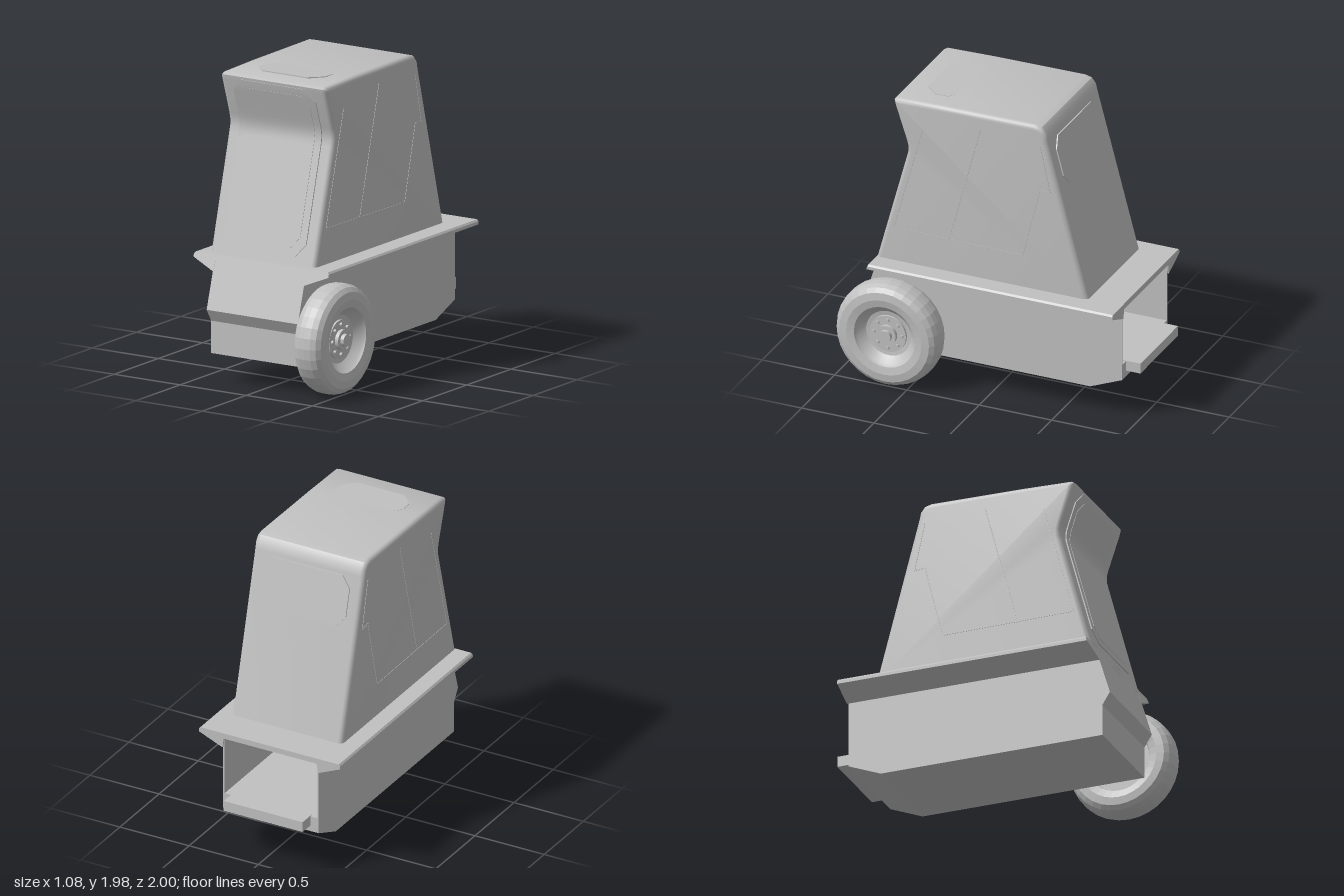
import * as THREE from 'three';
import { toCreasedNormals } from 'three/addons/utils/BufferGeometryUtils.js';

const grey = new THREE.MeshStandardMaterial({ color: 0xc0c0c0 });
grey.name = 'plain grey';

const CX = -0.03; // centre line of body and hood
const hoodFront = [[0.77, 0.83], [0.57, 1.57], [0.56, 1.61], [0.56, 1.65], [0.57, 1.69], [0.65, 1.93]];
const hoodTop = [[0.655, 1.957], [0.63, 1.972], [0.3, 1.98], [-0.32, 1.985], [-0.365, 1.973], [-0.395, 1.935], [-0.405, 1.89]];
const hoodBack = [-0.69, 0.83];

function add(parent, name, geometry) {
  const mesh = new THREE.Mesh(geometry, grey);
  mesh.name = name;
  parent.add(mesh);
  return mesh;
}

function box(parent, name, x0, x1, y0, y1, z0, z1) {
  const mesh = add(parent, name, new THREE.BoxGeometry(x1 - x0, y1 - y0, z1 - z0));
  mesh.position.set((x0 + x1) / 2, (y0 + y1) / 2, (z0 + z1) / 2);
  return mesh;
}

// Extrudes a side profile of [z, y] points across the width from x0 to x1
function sideExtrude(points, x0, x1, bevel = 0) {
  const shape = new THREE.Shape(points.map(([z, y]) => new THREE.Vector2(-z, y)));
  const geo = new THREE.ExtrudeGeometry(shape, {
    depth: x1 - x0 - 2 * bevel, bevelEnabled: bevel > 0, bevelSize: bevel,
    bevelThickness: bevel, bevelOffset: -bevel, bevelSegments: 5,
  });
  return geo.rotateY(Math.PI / 2).translate(x0 + bevel, 0, 0);
}

// z of the hood front at height y
function frontZ(y) {
  for (let i = 1; i < hoodFront.length; i++) {
    const [z0, y0] = hoodFront[i - 1], [z1, y1] = hoodFront[i];
    if (y <= y1) return z0 + (z1 - z0) * (y - y0) / (y1 - y0);
  }
  return hoodFront[hoodFront.length - 1][0];
}

// z of the hood back at height y
const backZ = (y) => -0.69 + (y - 0.83) * (0.285 / 1.06);

// Thin eight-sided plate bent so that it follows z = follow(y)
function panel(x0, x1, y0, y1, cx, cy, depth, follow) {
  const w = x1 - x0, h = y1 - y0;
  const geo = new THREE.BoxGeometry(w, h, depth, 1, Math.round(h / cy * 2), 1);
  const p = geo.attributes.position;
  for (let i = 0; i < p.count; i++) {
    const y = p.getY(i);
    const cut = cx * Math.max(0, 1 - (h / 2 - Math.abs(y)) / cy);
    const worldY = y + (y0 + y1) / 2;
    p.setXYZ(i, Math.sign(p.getX(i)) * (w / 2 - cut) + (x0 + x1) / 2, worldY, p.getZ(i) + follow(worldY));
  }
  return toCreasedNormals(geo, 0.5);
}

function buildHood() {
  const hood = new THREE.Group();
  hood.name = 'hood';

  // Shell with softened edges and a flat base
  const shell = sideExtrude([...hoodFront, ...hoodTop, hoodBack], CX - 0.4, CX + 0.4, 0.032);
  const p = shell.attributes.position;
  for (let i = 0; i < p.count; i++) if (p.getY(i) < 0.9) p.setY(i, 0.83);
  add(hood, 'hoodShell', toCreasedNormals(shell, 0.6));

  // Stepped front panel, rear hatch and roof hatch
  add(hood, 'frontPanelFrame', panel(-0.34, 0.28, 0.88, 1.94, 0.07, 0.08, 0.02, (y) => frontZ(y) - 0.002));
  add(hood, 'frontPanelInset', panel(-0.29, 0.23, 0.93, 1.89, 0.06, 0.07, 0.02, (y) => frontZ(y) + 0.001));
  add(hood, 'rearHatch', panel(-0.34, 0.28, 1.55, 1.87, 0.06, 0.07, 0.02, (y) => backZ(y) + 0.002));
  const roof = add(hood, 'roofHatch', panel(-0.28, 0.22, -0.125, 0.125, 0.08, 0.08, 0.01, () => 0));
  roof.rotation.x = -Math.PI / 2 - 0.01;
  roof.position.set(0, 1.976, 0.39);

  // Fine seam lines on both sides, as [z, y] pairs
  const seams = [
    [0.65, 1.06, -0.24, 1.05], [0.27, 1.05, 0.05, 1.88], [-0.24, 1.05, -0.36, 1.54],
    [-0.36, 1.54, -0.43, 1.53], [-0.43, 1.53, -0.36, 1.85], [0.65, 1.06, 0.45, 1.8],
  ];
  for (const x of [CX - 0.4, CX + 0.4]) {
    for (const [z0, y0, z1, y1] of seams) {
      const seam = add(hood, 'sideSeam', new THREE.BoxGeometry(0.005, 0.007, Math.hypot(z1 - z0, y1 - y0)));
      seam.position.set(x, (y0 + y1) / 2, (z0 + z1) / 2);
      seam.rotation.x = -Math.atan2(y1 - y0, z1 - z0);
    }
  }
  return hood;
}

function buildChassis() {
  const chassis = new THREE.Group();
  chassis.name = 'chassis';
  const nose = [[0.79, 0.78], [0.88, 0.48], [0.83, 0.4], [0.83, 0.19]];
  const tail = [[-0.68, 0.19], [-0.9, 0.28]];

  // Floor and nose, open at the back, between two side walls
  add(chassis, 'floorAndNose', sideExtrude([...nose, ...tail, [-0.9, 0.385], [0.76, 0.385], [0.76, 0.78]], -0.37, 0.3));
  for (const x of [-0.38, 0.3]) {
    add(chassis, 'sideWall', sideExtrude([...nose, ...tail, [-0.9, 0.78]], x, x + 0.01));
  }

  // Deck with wedge-shaped flanges; its front end leans with the nose
  const outline = [[-0.54, 0.785], [-0.54, 0.805], [-0.53, 0.817], [0.47, 0.817], [0.48, 0.805], [0.48, 0.785],
    [0.31, 0.715], [0.3, 0.78], [-0.37, 0.78], [-0.38, 0.715]];
  const deck = new THREE.ExtrudeGeometry(new THREE.Shape(outline.map(([x, y]) => new THREE.Vector2(x, y))),
    { depth: 1.69, bevelEnabled: false }).translate(0, 0, -0.91);
  const p = deck.attributes.position;
  for (let i = 0; i < p.count; i++) if (p.getZ(i) > 0) p.setZ(i, 0.78 + (0.817 - p.getY(i)) * 0.3);
  deck.computeVertexNormals();
  add(chassis, 'deck', deck);

  // Rear hitch bar
  box(chassis, 'hitchBar', -0.32, 0.25, 0.32, 0.39, -1, -0.88);
  return chassis;
}

function buildWheel() {
  const wheel = new THREE.Group();
  wheel.name = 'wheel';
  const lathe = (points, sides) => new THREE.LatheGeometry(
    points.map(([r, x]) => new THREE.Vector2(r, x)), sides).rotateZ(-Math.PI / 2);

  // Faceted tyre
  const tyre = lathe([[0.2, 0.36], [0.21, 0.34], [0.26, 0.327], [0.31, 0.333], [0.338, 0.355], [0.352, 0.39], [0.355, 0.432],
    [0.352, 0.475], [0.338, 0.51], [0.31, 0.532], [0.26, 0.538], [0.21, 0.528]], 32).toNonIndexed();
  tyre.computeVertexNormals();
  add(wheel, 'tyre', tyre);

  // Dished rim with stepped hub
  const rim = lathe([[0, 0.36], [0.2, 0.36]], 32);
  add(wheel, 'rimBack', rim);
  add(wheel, 'rim', toCreasedNormals(lathe([[0.21, 0.528], [0.2, 0.505], [0.155, 0.465], [0.125, 0.46], [0.125, 0.475],
    [0.065, 0.475], [0.065, 0.5], [0.04, 0.5], [0.04, 0.525], [0, 0.525]], 32), 0.5));

  // Ring of wheel bolts
  for (let i = 0; i < 8; i++) {
    const a = i * Math.PI / 4;
    const bolt = add(wheel, 'wheelBolt', new THREE.CylinderGeometry(0.012, 0.012, 0.02, 12).rotateZ(-Math.PI / 2));
    bolt.position.set(0.48, Math.cos(a) * 0.097, Math.sin(a) * 0.097);
  }

  // Stub axle into the chassis
  const axle = add(wheel, 'axle', new THREE.CylinderGeometry(0.04, 0.04, 0.08, 16).rotateZ(-Math.PI / 2));
  axle.position.x = 0.33;
  wheel.position.set(0, 0.357, 0.643);
  return wheel;
}

export function createModel() {
  const model = new THREE.Group();
  model.name = 'wheeledPod';
  model.add(buildHood(), buildChassis(), buildWheel());
  return model;
}
